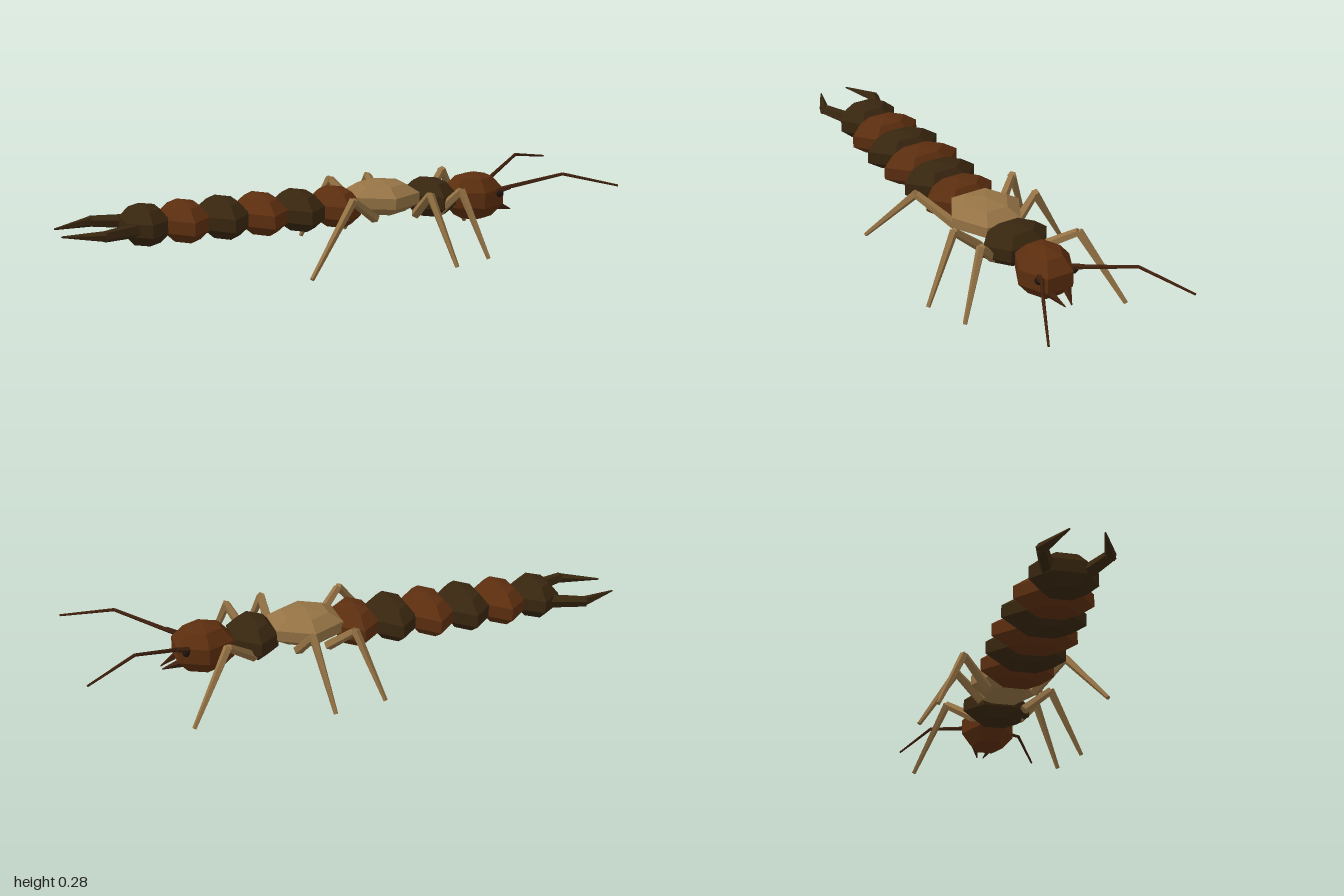
import * as THREE from 'three';

const mat = (name, color) => {
  const m = new THREE.MeshStandardMaterial({ color, flatShading: true });
  m.name = name;
  return m;
};

export function createModel() {
  const root = new THREE.Group();
  root.name = 'earwig';
  const rust = mat('rust brown', 0x5c2e0f);
  const dark = mat('dark brown', 0x38260f);
  const tan = mat('tan', 0x957345);
  const umber = mat('deep umber', 0x40200d);
  const black = mat('eye black', 0x1c120b);

  const add = (name, geo, material, parent = root) => {
    const mesh = new THREE.Mesh(geo, material);
    mesh.name = name;
    parent.add(mesh);
    return mesh;
  };

  // Faceted body lump: six sides with points at +z and -z, five rows high
  const lump = (name, x, y, hx, hy, hz, material) => {
    const geo = new THREE.SphereGeometry(1, 6, 5).rotateY(Math.PI / 2);
    geo.scale(hx / 0.824, hy, hz / 0.951);
    add(name, geo, material).position.set(x, y, 0);
  };

  // Tapered limb section between two points
  const limb = (name, a, b, ra, rb, material, parent, sides = 5) => {
    const p = new THREE.Vector3(...a), q = new THREE.Vector3(...b);
    const d = q.clone().sub(p);
    const mesh = add(name, new THREE.CylinderGeometry(rb, ra, d.length(), sides), material, parent);
    mesh.position.copy(p).add(q).multiplyScalar(0.5);
    mesh.quaternion.setFromUnitVectors(new THREE.Vector3(0, 1, 0), d.normalize());
  };

  // Head and thorax
  lump('head', 0.55, 0.171, 0.1, 0.0915, 0.1, rust);
  lump('frontThorax', 0.372, 0.183, 0.077, 0.073, 0.127, dark);
  lump('rearThorax', 0.18, 0.2, 0.122, 0.063, 0.135, tan);

  // Abdomen, alternating colours, tapering at both ends
  [0.135, 0.145, 0.152, 0.147, 0.137, 0.116].forEach((hz, i) =>
    lump('abdomenSegment' + (i + 1), -0.14 * i, 0.18, 0.074, 0.074, hz, i % 2 ? dark : rust));

  // Legs in mid-stride: [hip x, knee x, knee z, foot x, foot z]
  const legs = [
    [0.12, 0.0, 0.175, -0.195, 0.28],
    [0.28, 0.285, 0.19, 0.333, 0.32],
    [0.37, 0.42, 0.165, 0.485, 0.265],
    [0.12, 0.055, -0.185, -0.022, -0.288],
    [0.23, 0.205, -0.185, 0.17, -0.325],
    [0.39, 0.5, -0.17, 0.652, -0.27],
  ];
  legs.forEach(([hx, kx, kz, fx, fz], i) => {
    const leg = new THREE.Group();
    leg.name = (kz > 0 ? 'right' : 'left') + 'Leg' + (i % 3 + 1);
    root.add(leg);
    const s = Math.sign(kz);
    limb('upperLeg', [hx, 0.145, 0.085 * s], [kx, 0.236, kz], 0.019, 0.015, tan, leg);
    limb('lowerLeg', [kx, 0.24, kz], [fx, 0.004, fz], 0.016, 0.008, tan, leg);
  });

  // Mirrored head parts and rear pincers
  for (const s of [1, -1]) {
    const side = s > 0 ? 'plusZ' : 'minusZ';
    const antenna = new THREE.Group();
    antenna.name = side + 'Antenna';
    root.add(antenna);
    limb('antennaBase', [0.6, 0.19, 0.055 * s], [0.66, 0.213, 0.085 * s], 0.012, 0.009, umber, antenna);
    limb('antennaMiddle', [0.65, 0.209, 0.075 * s], [0.82, 0.268, 0.183 * s], 0.008, 0.006, umber, antenna);
    limb('antennaTip', [0.82, 0.268, 0.183 * s], [0.997, 0.23, 0.278 * s], 0.006, 0.004, umber, antenna);

    limb(side + 'Mandible', [0.625, 0.14, 0.038 * s], [0.7, 0.11, 0.012 * s], 0.018, 0.002, umber, root, 4);

    const eye = add(side + 'Eye', new THREE.SphereGeometry(0.014, 6, 5), black);
    eye.position.set(0.624, 0.188, 0.07 * s);

    const pincer = new THREE.Group();
    pincer.name = side + 'Pincer';
    root.add(pincer);
    limb('pincerBase', [-0.74, 0.18, 0.065 * s], [-0.865, 0.18, 0.112 * s], 0.026, 0.02, dark, pincer);
    limb('pincerTip', [-0.855, 0.18, 0.112 * s], [-0.998, 0.178, 0.056 * s], 0.02, 0.003, dark, pincer);
  }
  return root;
}
